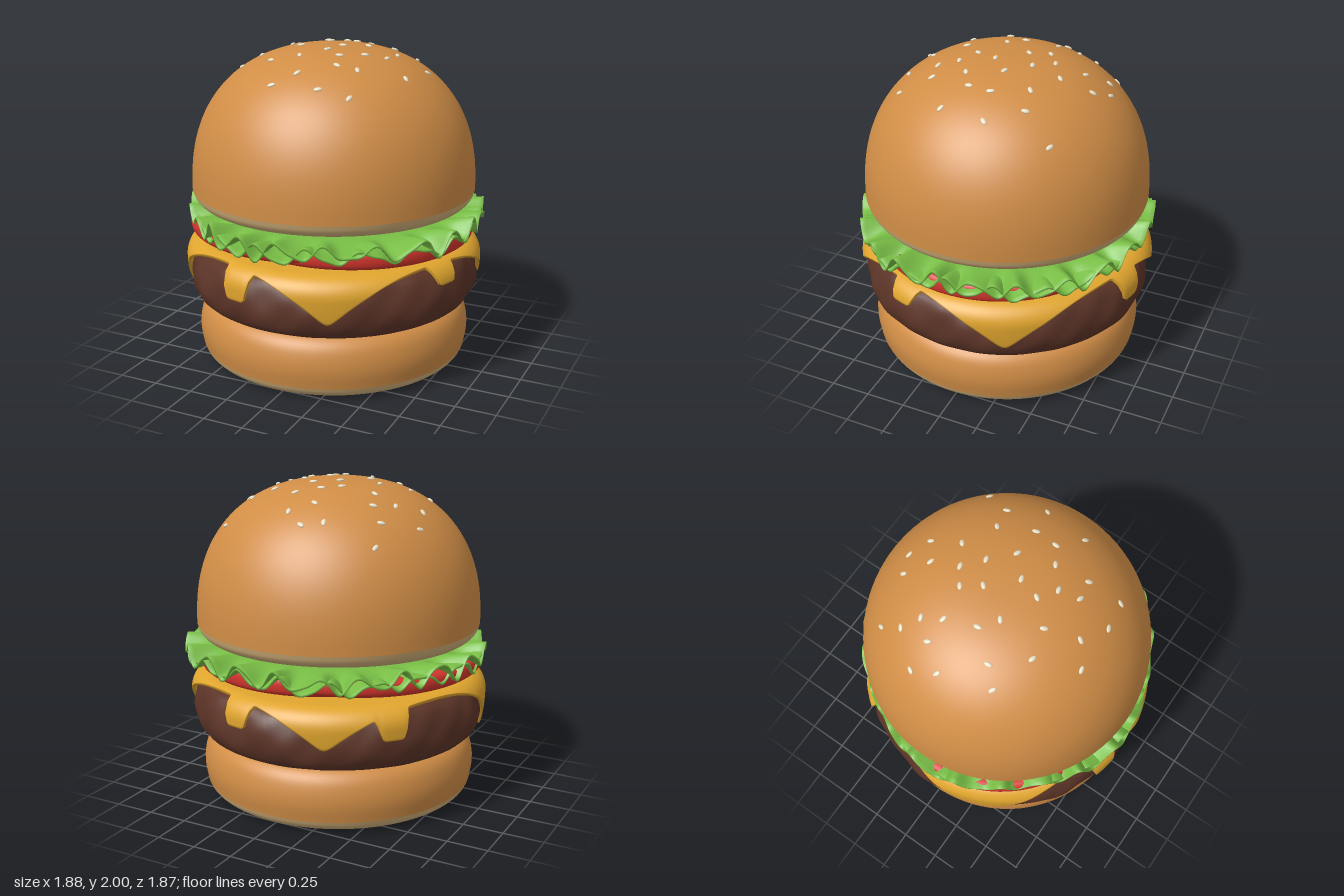
import * as THREE from 'three';

const mat = (name, color, side = THREE.FrontSide) => {
  const m = new THREE.MeshStandardMaterial({ color, side });
  m.name = name;
  return m;
};
const rad = THREE.MathUtils.degToRad;
const smooth = THREE.MathUtils.smoothstep;

// Surface around the y axis: f(theta, k) gives [radius, y], k running from the top centre outwards
function ring(n, m, f) {
  const pos = [], idx = [];
  for (let i = 0; i < n; i++) {
    const t = (i / n) * Math.PI * 2;
    for (let k = 0; k <= m; k++) {
      const [r, y] = f(t, k);
      pos.push(r * Math.cos(t), y, r * Math.sin(t));
    }
  }
  for (let i = 0; i < n; i++) {
    for (let k = 0; k < m; k++) {
      const a = i * (m + 1) + k, d = ((i + 1) % n) * (m + 1) + k;
      idx.push(a, d, a + 1, a + 1, d, d + 1);
    }
  }
  const g = new THREE.BufferGeometry();
  g.setAttribute('position', new THREE.Float32BufferAttribute(pos, 3));
  g.setIndex(idx);
  g.computeVertexNormals();
  return g;
}

const lathe = (pts) => new THREE.LatheGeometry(pts.map(p => new THREE.Vector2(p[0], p[1])), 96);
const curve = (pts, n) => new THREE.CatmullRomCurve3(pts.map(p => new THREE.Vector3(p[0], p[1], 0)))
  .getPoints(n).map(p => [Math.max(0, p.x), p.y]);

// Dome of the top bun
const DOME = { r: 0.887, y: 1.11, h: 0.88, p: 2.35 };
const domeY = (r) => DOME.y + DOME.h * Math.pow(Math.max(0, 1 - Math.pow(r / DOME.r, DOME.p)), 1 / DOME.p);

// Seed positions on the dome, as x, z pairs
const SEEDS = [
  -.53, -.52, -.5, -.39, -.41, -.31, -.66, -.21, -.5, -.2, -.36, -.19, -.61, -.06, -.3, 0,
  -.16, -.22, -.06, -.29, -.09, -.11, -.23, -.57, -.11, -.62, -.11, -.46, .01, -.55, .07, -.37,
  .05, -.19, .27, -.27, .41, -.3, .49, -.48, .18, -.07, .37, -.07, .55, -.11, .06, .04,
  -.2, .08, -.43, .16, -.52, .25, -.27, .34, -.1, .3, .02, .17, .13, .24, .25, .14,
  .36, .07, .52, .17, .17, .36, .29, .34, -.02, .49, -.14, .58, .15, .57, .33, .54,
];

// Length of the cheese from its centre: a square with four drooping corners and four drips
const CORNERS = [[67, .31], [-23, .31], [-113, .27], [157, .42]];
const DRIPS = [[103, 1.08], [19, 1.0], [-78, 1.05], [-138, 1.07]];
function cheeseLength(t) {
  const gap = (deg) => Math.abs(Math.atan2(Math.sin(t - rad(deg)), Math.cos(t - rad(deg))));
  let len = 0.86;
  for (const [deg, drop] of CORNERS) {
    const g = Math.hypot(gap(deg), 0.035);
    if (g < Math.PI / 4) len += drop * (1 / Math.cos(Math.PI / 4 - g) - 1) / 0.39;
  }
  for (const [deg, l] of DRIPS) {
    const w = 1 - smooth(gap(deg), 0.06, 0.13);
    len = Math.max(len, len + (l - len) * w);
  }
  return len;
}
// Point on the cheese at distance s from the centre, offset inwards by d
function cheesePoint(s, d) {
  const flat = 0.81, R = 0.125, arc = R * Math.PI / 2;
  if (s < flat) return [s, 0.803 - d];
  if (s < flat + arc) {
    const a = (s - flat) / R;
    return [flat + (R - d) * Math.sin(a), 0.803 - R + (R - d) * Math.cos(a)];
  }
  const q = s - flat - arc;
  return [flat + R - d - 0.5 * q * q, 0.803 - R - q];
}

export function createModel() {
  const bunMat = mat('toasted bun', 0xd08d46);
  const crumbMat = mat('bun crumb', 0xcfae78);
  const seedMat = mat('sesame', 0xe8dfc6);
  const lettuceMat = mat('lettuce green', 0x78bd45, THREE.DoubleSide);
  const tomatoMat = mat('tomato red', 0xd2352c);
  const cheeseMat = mat('cheese yellow', 0xe0a52e, THREE.DoubleSide);
  const meatMat = mat('grilled meat', 0x5c3427);

  const model = new THREE.Group();
  model.name = 'burger';
  const add = (name, geo, material, x = -0.02, y = 0, z = 0, parent = model) => {
    const m = new THREE.Mesh(geo, material);
    m.name = name;
    m.position.set(x, y, z);
    parent.add(m);
    return m;
  };

  // Bottom bun
  add('bottomBunCrumb', lathe([[0, 0.005], [0.6, 0.005], [0.7, 0.008],
    ...curve([[0.74, 0.012], [0.80, 0.03], [0.835, 0.06], [0.85, 0.092]], 10)]), crumbMat);
  add('bottomBun', lathe([...curve([[0.85, 0.092], [0.865, 0.19], [0.858, 0.27], [0.83, 0.345],
    [0.78, 0.39], [0.70, 0.405]], 20), [0, 0.405]]), bunMat);

  // Patty with a lumpy side
  const meat = [[0, 0.77], [0.5, 0.77], ...curve([[0.76, 0.77], [0.85, 0.735], [0.895, 0.66], [0.912, 0.56],
    [0.895, 0.48], [0.855, 0.425], [0.78, 0.402]], 22), [0.5, 0.402], [0, 0.402]];
  add('patty', ring(144, meat.length - 1, (t, k) => {
    const [r, y] = meat[k];
    const lump = 0.006 * Math.sin(7 * t + 9 * y) + 0.005 * Math.sin(13 * t - 17 * y + 1)
      + 0.004 * Math.sin(23 * t + 25 * y + 2);
    return [r * (1 + lump * smooth(r, 0.6, 0.85)), y + lump * 0.5 * smooth(r, 0.4, 0.7)];
  }), meatMat);

  // Melted cheese slice, closed with an underside
  const CN = 26;
  add('cheese', ring(360, 2 * CN + 1, (t, k) => {
    const len = cheeseLength(t);
    const j = k <= CN ? k : 2 * CN + 1 - k;
    const s = j === 0 ? 0 : 0.75 + (len - 0.75) * (j - 1) / (CN - 1);
    return cheesePoint(s, k <= CN ? 0 : 0.02);
  }), cheeseMat);

  // Overlapping tomato slices: radius, bottom, top, x, z
  [[0.64, 0.797, 0.85, -0.015, 0], [0.78, 0.835, 0.94, -0.14, 0.04], [0.775, 0.815, 0.93, 0.09, -0.01]]
    .forEach(([r, y0, y1, x, z], i) => {
      const c = Math.min(0.03, (y1 - y0) * 0.3);
      add('tomatoSlice' + (i + 1), lathe([[0, y0], [r - c - 0.02, y0],
        ...curve([[r - c, y0], [r - c * 0.25, y0 + c * 0.6], [r, (y0 + y1) / 2],
          [r - c * 0.25, y1 - c * 0.6], [r - c, y1]], 12), [r - c - 0.02, y1], [0, y1]]), tomatoMat, x, 0, z);
    });

  // Two ruffled lettuce leaves
  const LN = 12;
  [[0.93, 0.972, 0.062, 22, 0.4], [0.915, 0.945, 0.05, 19, 2.1]].forEach(([R, y0, amp, waves, ph], i) => {
    add('lettuceLeaf' + (i + 1), ring(360, 2 * LN + 1, (t, k) => {
      const j = k <= LN ? k : 2 * LN + 1 - k;
      const edge = R + 0.018 * Math.cos(5 * (t - rad(102))) + 0.006 * Math.cos(2 * t + 0.3)
        + 0.006 * Math.sin(waves * t + ph + 1);
      const r = j === 0 ? 0.1 : 0.6 + (edge - 0.6) * (j - 1) / (LN - 1);
      const u = smooth(r, 0.68, 0.95);
      const wave = Math.sin(waves * t + ph + 0.6 * Math.sin(3 * t)) * (0.8 + 0.2 * Math.sin(4 * t + ph))
        + 0.22 * Math.sin(37 * t + ph);
      return [r, y0 - 0.014 * u + amp * u * wave - (k <= LN ? 0 : 0.014)];
    }), lettuceMat, 0);
  });

  // Top bun
  add('topBunCrumb', lathe([[0, 1.02], [0.7, 1.02],
    ...curve([[0.78, 1.022], [0.84, 1.038], [0.873, 1.07], [0.887, 1.11]], 10)]), crumbMat);
  const dome = [];
  for (let i = 0; i <= 40; i++) {
    const a = (i / 40) * Math.PI / 2;
    const e = 2 / DOME.p;
    dome.push([DOME.r * Math.pow(Math.max(0, Math.cos(a)), e), DOME.y + DOME.h * Math.pow(Math.sin(a), e)]);
  }
  dome[40][0] = 0;
  add('topBun', lathe(dome), bunMat);

  // Sesame seeds lying on the dome
  const seeds = new THREE.Group();
  seeds.name = 'sesameSeeds';
  seeds.position.x = -0.02;
  model.add(seeds);
  const seedGeo = new THREE.SphereGeometry(1, 12, 8);
  seedGeo.scale(0.014, 0.009, 0.025);
  const up = new THREE.Vector3(0, 1, 0);
  for (let i = 0; i < SEEDS.length; i += 2) {
    const x = SEEDS[i] + 0.02, z = SEEDS[i + 1], r = Math.hypot(x, z);
    const slope = (domeY(r - 0.01) - domeY(r + 0.01)) / 0.02;
    const normal = new THREE.Vector3(x / r * slope, 1, z / r * slope).normalize();
    const s = add('seed', seedGeo, seedMat, x, domeY(r), z, seeds);
    s.position.addScaledVector(normal, 0.003);
    s.quaternion.setFromUnitVectors(up, normal)
      .multiply(new THREE.Quaternion().setFromAxisAngle(up, Math.sin(i * 2.7) * 1.3));
  }
  return model;
}
